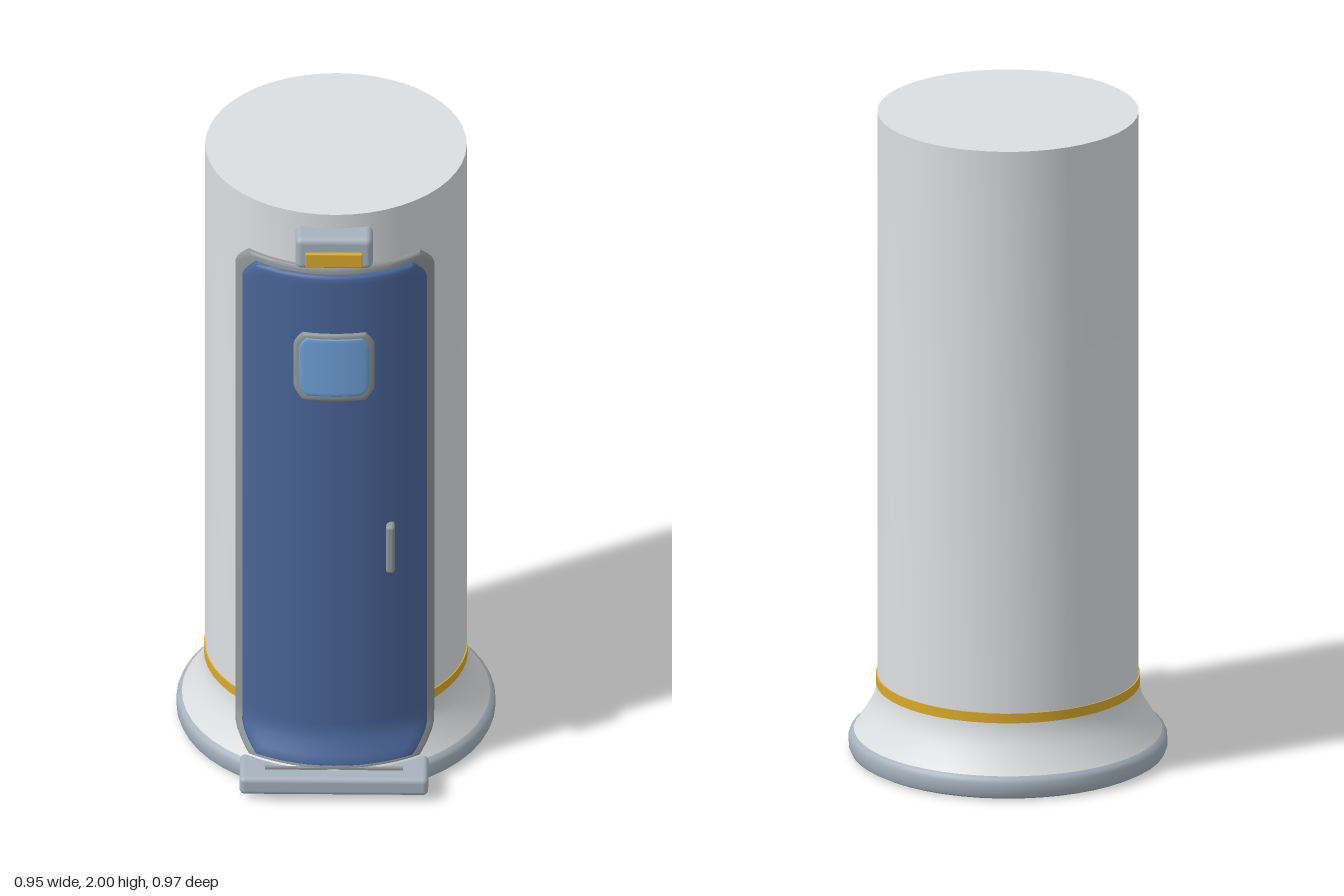
import * as THREE from 'three';
import { toCreasedNormals } from 'three/addons/utils/BufferGeometryUtils.js';
import { RoundedBoxGeometry } from 'three/addons/geometries/RoundedBoxGeometry.js';

const CZ = -0.014; // axis of the column
const R = 0.388;

function material(name, color) {
  const m = new THREE.MeshStandardMaterial({ color });
  m.name = name;
  return m;
}

// Extra radius where the foot of the column flares out
const flare = (y) => 0.05 * Math.pow(Math.max(0, (0.19 - y) / 0.1), 1.2);

// Panel wrapped round the column: half width, height range, corner cut,
// inner and outer radius, edge bevel
function wrappedPanel(hw, y0, y1, corner, rIn, rOut, bevel) {
  const cols = [[-hw, rIn], [-hw, rOut - bevel], [-hw + bevel * 0.35, rOut - bevel * 0.3]];
  const n = 16;
  for (let i = 0; i <= n; i++) cols.push([(hw - bevel) * (2 * i / n - 1), rOut]);
  cols.push([hw - bevel * 0.35, rOut - bevel * 0.3], [hw, rOut - bevel], [hw, rIn]);

  const rows = [[y0, rIn], [y0, rOut - bevel], [y0 + bevel * 0.35, rOut - bevel * 0.3], [y0 + bevel, rOut]];
  for (const f of [0.3, 0.65, 1]) rows.push([y0 + bevel + (corner - bevel) * f, rOut]);
  for (const y of [0.17, 0.19, 0.22]) if (y > y0 + corner + 0.005 && y < y1 - corner) rows.push([y, rOut]);
  for (const f of [1, 0.65, 0.3]) rows.push([y1 - bevel - (corner - bevel) * f, rOut]);
  rows.push([y1 - bevel, rOut], [y1 - bevel * 0.35, rOut - bevel * 0.3], [y1, rOut - bevel], [y1, rIn]);

  const pos = [], index = [];
  rows.forEach(([y, rr], j) => {
    const d = Math.max(0, 1 - Math.min(y - y0, y1 - y) / corner);
    const scale = (hw - corner * 0.6 * Math.pow(d, 1.6)) / hw;
    cols.forEach(([cx, cr], i) => {
      const x = cx * scale, r = Math.min(rr, cr) + flare(y);
      pos.push(x, y, CZ + Math.sqrt(r * r - x * x));
      if (i && j) {
        const w = cols.length, d0 = j * w + i, c0 = d0 - 1, b0 = d0 - w, a0 = b0 - 1;
        index.push(a0, b0, d0, a0, d0, c0);
      }
    });
  });
  const g = new THREE.BufferGeometry();
  g.setAttribute('position', new THREE.Float32BufferAttribute(pos, 3));
  g.setIndex(index);
  return toCreasedNormals(g, 0.75);
}

function lathe(points) {
  const g = new THREE.LatheGeometry(points.map(([r, y]) => new THREE.Vector2(r, y)), 48);
  return toCreasedNormals(g, 0.6).translate(0, 0, CZ);
}

function box(w, h, d, x, y, z, radius) {
  const g = radius ? new RoundedBoxGeometry(w, h, d, 3, radius) : new THREE.BoxGeometry(w, h, d);
  return g.translate(x, y, z);
}

export function createModel() {
  const group = new THREE.Group();
  group.name = 'roundTowerCabin';
  const white = material('wallWhite', 0xdcdee0);
  const trim = material('trimBlueGrey', 0xa6b2bd);
  const grey = material('frameGrey', 0x8f9598);
  const blue = material('doorBlue', 0x4a6599);
  const glass = material('windowBlue', 0x6fa0d8);
  const gold = material('accentGold', 0xd9a92c);

  const add = (name, geometry, mat) => {
    const mesh = new THREE.Mesh(geometry, mat);
    mesh.name = name;
    group.add(mesh);
  };

  // Column with flared foot, and the rim below it
  add('column', lathe([
    [0.46, 0.068], [0.447, 0.085], [0.428, 0.115], [0.41, 0.145], [0.397, 0.175],
    [0.39, 0.205], [R, 0.24], [R, 2], [0, 2],
  ]), white);
  add('baseRim', lathe([
    [0, 0], [0.452, 0], [0.467, 0.008], [0.473, 0.022], [0.473, 0.052], [0.468, 0.064], [0.455, 0.073],
  ]), trim);
  add('goldBand', lathe([[0.386, 0.215], [0.392, 0.215], [0.392, 0.245], [0.386, 0.245]]), gold);

  // Door and its surround follow the wall
  add('doorFrame', wrappedPanel(0.295, 0.085, 1.82, 0.07, R - 0.012, R + 0.014, 0.008), grey);
  add('door', wrappedPanel(0.274, 0.095, 1.797, 0.07, R, R + 0.026, 0.012), blue);

  // Window in the door
  add('windowFrame', wrappedPanel(0.12, 1.36, 1.597, 0.045, R + 0.02, R + 0.035, 0.008), grey);
  add('windowGlass', wrappedPanel(0.104, 1.381, 1.582, 0.035, R + 0.03, R + 0.038, 0.003), glass);

  // Door handle
  add('handle', box(0.026, 0.165, 0.042, 0.167, 0.83, 0.376, 0.01), grey);

  // Lamp above the door
  add('lampHousing', box(0.23, 0.108, 0.095, 0, 1.898, 0.388, 0.02), trim);
  add('lampLens', box(0.17, 0.048, 0.02, 0, 1.883, 0.437, 0.004), gold);

  // Step with a raised tread strip
  add('step', box(0.56, 0.06, 0.145, 0, 0.05, 0.4135, 0.016), trim);
  add('treadStrip', box(0.41, 0.01, 0.01, 0, 0.082, 0.43), grey);

  return group;
}
